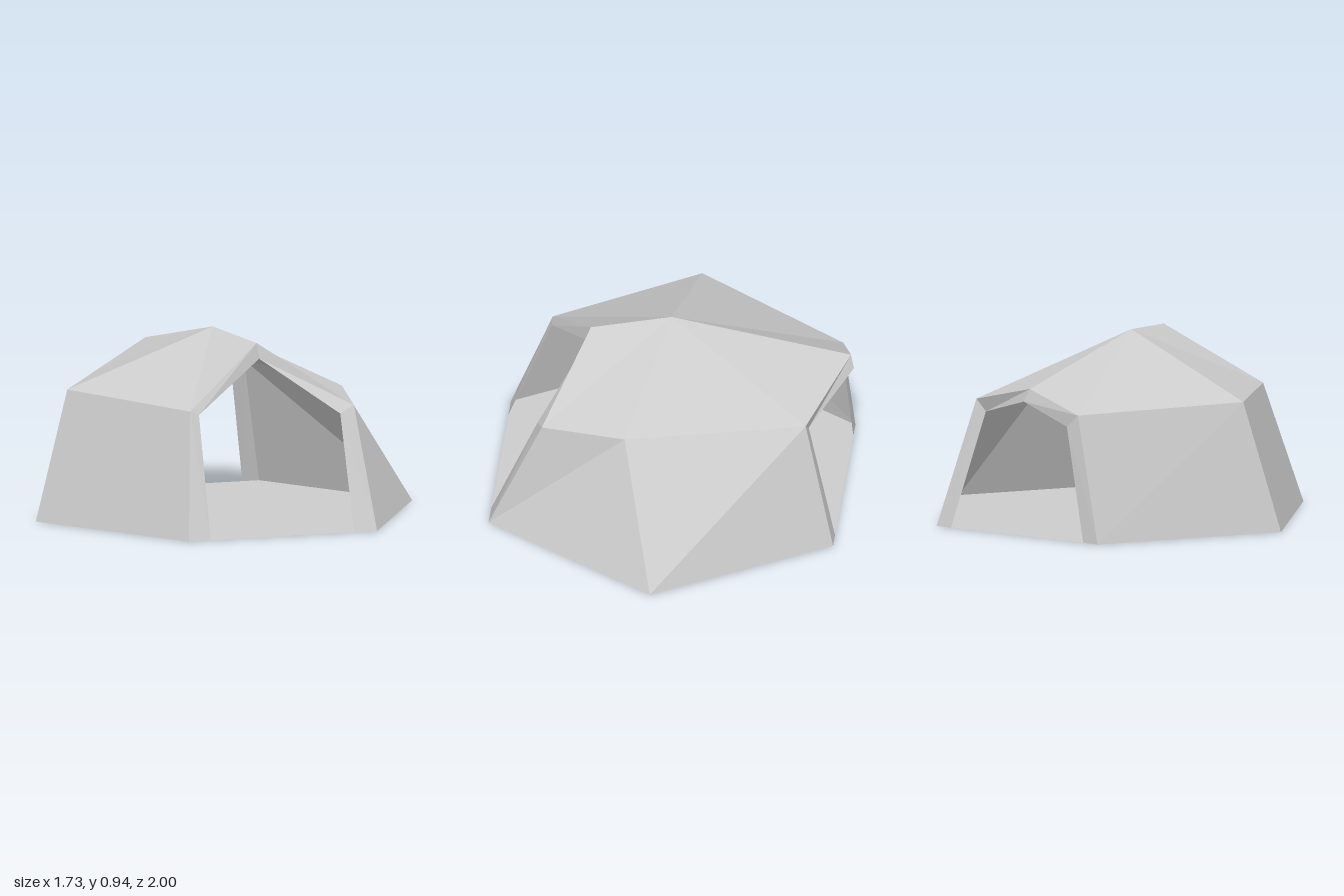
import * as THREE from 'three';

const material = new THREE.MeshStandardMaterial({ color: 0xcccccc, flatShading: true, side: THREE.DoubleSide });

// Thin faceted panel from convex faces, corners counter-clockwise seen from outside
function panel(name, faces) {
  const points = [];
  for (const f of faces) {
    for (let i = 1; i < f.length - 1; i++) points.push(...f[0], ...f[i], ...f[i + 1]);
  }
  const geometry = new THREE.BufferGeometry();
  geometry.setAttribute('position', new THREE.Float32BufferAttribute(points, 3));
  geometry.computeVertexNormals();
  const mesh = new THREE.Mesh(geometry, material);
  mesh.name = name;
  return mesh;
}

// Frame strip between an outer and inner outline, open along the ground
function frame(name, outer, inner) {
  const faces = [];
  for (let i = 1; i <= 4; i++) {
    const j = (i + 1) % 5;
    faces.push([outer[i], outer[j], inner[j], inner[i]]);
  }
  return panel(name, faces);
}

export function createModel() {
  const model = new THREE.Group();
  model.name = 'hexagonalShelter';

  // Ground hexagon, starting at the front corner
  const base = Array.from({ length: 6 }, (_, i) => {
    const a = (i * Math.PI) / 3;
    return [Math.sin(a), 0, Math.cos(a)];
  });
  // Irregular eaves, one corner above each ground corner
  const eave = [
    [-0.035, 0.62, 0.765], [0.71, 0.6, 0.285], [0.575, 0.63, -0.13],
    [-0.04, 0.638, -0.8], [-0.71, 0.632, -0.54], [-0.733, 0.648, 0.352],
  ];
  const peak = [-0.05, 0.938, 0.04];
  const frontTip = [0.225, 0.908, 0.337];
  const backTip = [-0.528, 0.752, -0.722];

  model.add(panel('floor', [base]));

  // Closed walls
  for (const i of [1, 2, 4, 5]) {
    const j = (i + 1) % 6;
    model.add(panel('wall', [[base[i], base[j], eave[j], eave[i]]]));
  }

  // Four roof panels meeting at the peak
  model.add(panel('roof', [
    [peak, frontTip, eave[1], eave[2]],
    [peak, eave[2], eave[3], backTip],
    [peak, backTip, eave[4], eave[5]],
    [peak, eave[5], eave[0], frontTip],
  ]));

  // Entrance frames
  model.add(frame('frontEntranceFrame',
    [base[0], base[1], eave[1], frontTip, eave[0]],
    [[0.1, 0, 0.942], [0.76, 0, 0.561], [0.653, 0.565, 0.353], [0.24, 0.83, 0.345], [0.005, 0.6, 0.742]]));
  model.add(frame('backEntranceFrame',
    [base[3], base[4], eave[4], backTip, eave[3]],
    [[-0.077, 0, -0.955], [-0.788, 0, -0.545], [-0.66, 0.571, -0.578], [-0.515, 0.688, -0.75], [-0.1, 0.58, -0.775]]));

  return model;
}
